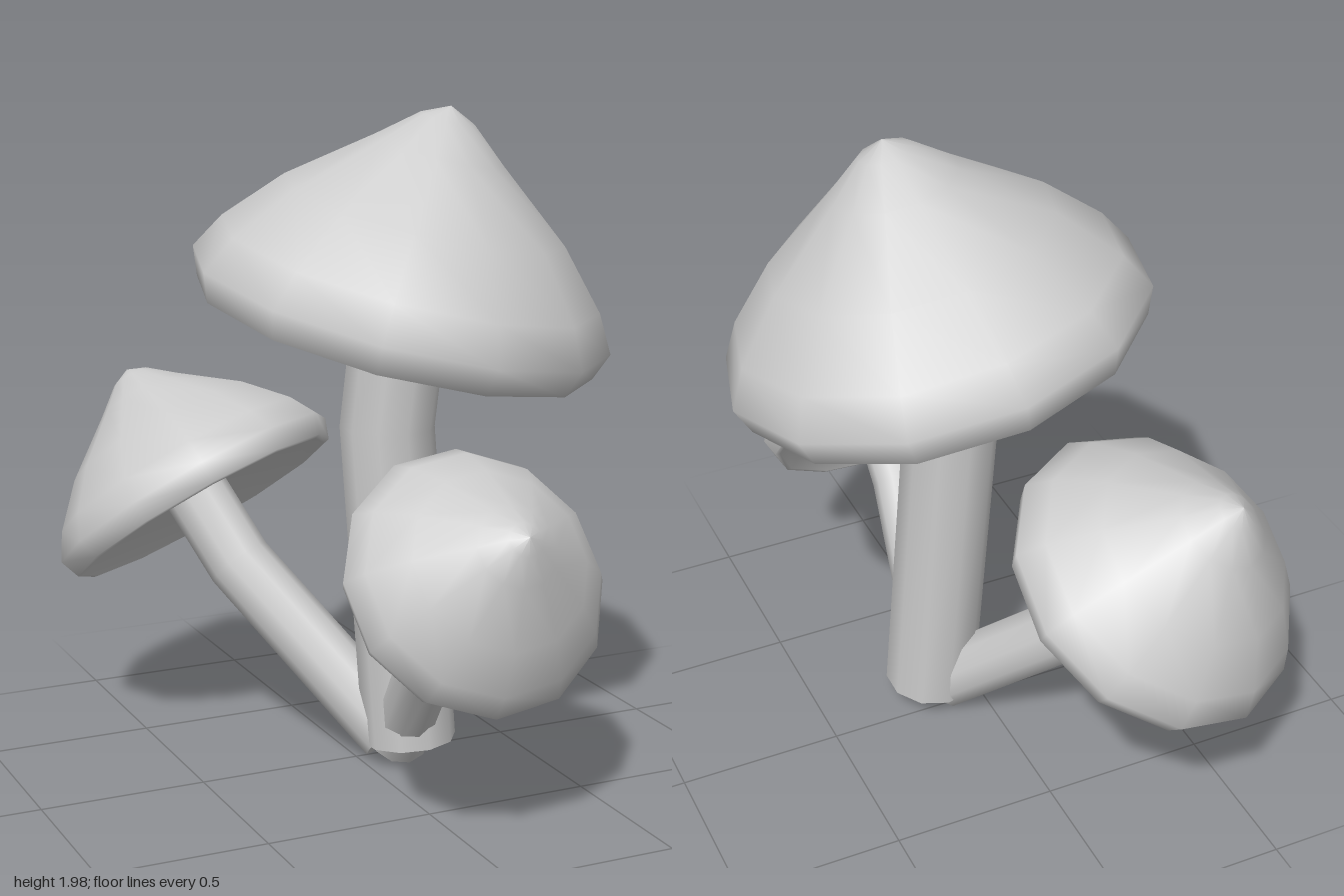
import * as THREE from 'three';

const material = new THREE.MeshStandardMaterial({ color: 0xcccccc });
const UP = new THREE.Vector3(0, 1, 0);

// Cap profile, from the middle of the underside, round the lip, up to the apex
const CAP_PROFILE = [
  [0, 0.01], [0.3, -0.005], [0.53, -0.045], [0.575, -0.075], [0.6, -0.07], [0.632, 0.015],
  [0.57, 0.125], [0.42, 0.29], [0.19, 0.47], [0.08, 0.563], [0, 0.6],
].map(([r, y]) => new THREE.Vector2(r, y));

// Twelve-sided cap, tilted so that its apex points along the axis
function makeCap({ centre, axis, scale, twist }) {
  const geometry = new THREE.LatheGeometry(CAP_PROFILE, 12);
  geometry.rotateY(twist);
  const cap = new THREE.Mesh(geometry, material);
  cap.name = 'cap';
  cap.position.set(...centre);
  cap.scale.setScalar(scale);
  cap.quaternion.setFromUnitVectors(UP, new THREE.Vector3(...axis).normalize());
  return cap;
}

// Stem: a cylinder whose rings are moved onto the points of a bent path
function makeStem({ path, radius }) {
  const points = path.map((p) => new THREE.Vector3(...p));
  const last = points.length - 1;
  const turns = points.map((p, i) => {
    const dir = new THREE.Vector3();
    if (i > 0) dir.add(p.clone().sub(points[i - 1]).normalize());
    if (i < last) dir.add(points[i + 1].clone().sub(p).normalize());
    return new THREE.Quaternion().setFromUnitVectors(UP, dir.normalize());
  });
  const geometry = new THREE.CylinderGeometry(radius, radius, 1, 10, last);
  const { position, normal } = geometry.attributes;
  const v = new THREE.Vector3();
  for (let i = 0; i < position.count; i++) {
    v.fromBufferAttribute(position, i);
    const ring = Math.round((v.y + 0.5) * last);
    v.setY(0).applyQuaternion(turns[ring]).add(points[ring]);
    position.setXYZ(i, v.x, v.y, v.z);
    v.fromBufferAttribute(normal, i).applyQuaternion(turns[ring]);
    normal.setXYZ(i, v.x, v.y, v.z);
  }
  const stem = new THREE.Mesh(geometry, material);
  stem.name = 'stem';
  return stem;
}

const MUSHROOMS = [
  {
    name: 'tallMushroom',
    cap: { centre: [0.125, 1.41, 0.035], axis: [0.2, 1, 0.155], scale: 1, twist: 0 },
    stem: { path: [[0.143, 0.08, 0.075], [0.085, 1.05, 0.035], [0.125, 1.48, 0.06]], radius: 0.142 },
  },
  {
    name: 'backMushroom',
    cap: { centre: [-0.305, 0.755, -0.53], axis: [-0.32, 0.8, -0.48], scale: 0.75, twist: -0.2 },
    stem: { path: [[0.1, 0.09, 0.04], [-0.22, 0.555, -0.39], [-0.34, 0.82, -0.55]], radius: 0.102 },
  },
  {
    name: 'frontMushroom',
    cap: { centre: [0.065, 0.735, 0.635], axis: [0, 0.56, 0.83], scale: 0.62, twist: -0.12 },
    stem: { path: [[0.12, 0.07, 0.05], [0.08, 0.59, 0.44], [0.065, 0.75, 0.67]], radius: 0.09 },
  },
];

export function createModel() {
  const model = new THREE.Group();
  model.name = 'mushroomCluster';
  for (const { name, cap, stem } of MUSHROOMS) {
    const mushroom = new THREE.Group();
    mushroom.name = name;
    mushroom.add(makeStem(stem), makeCap(cap));
    model.add(mushroom);
  }
  return model;
}
